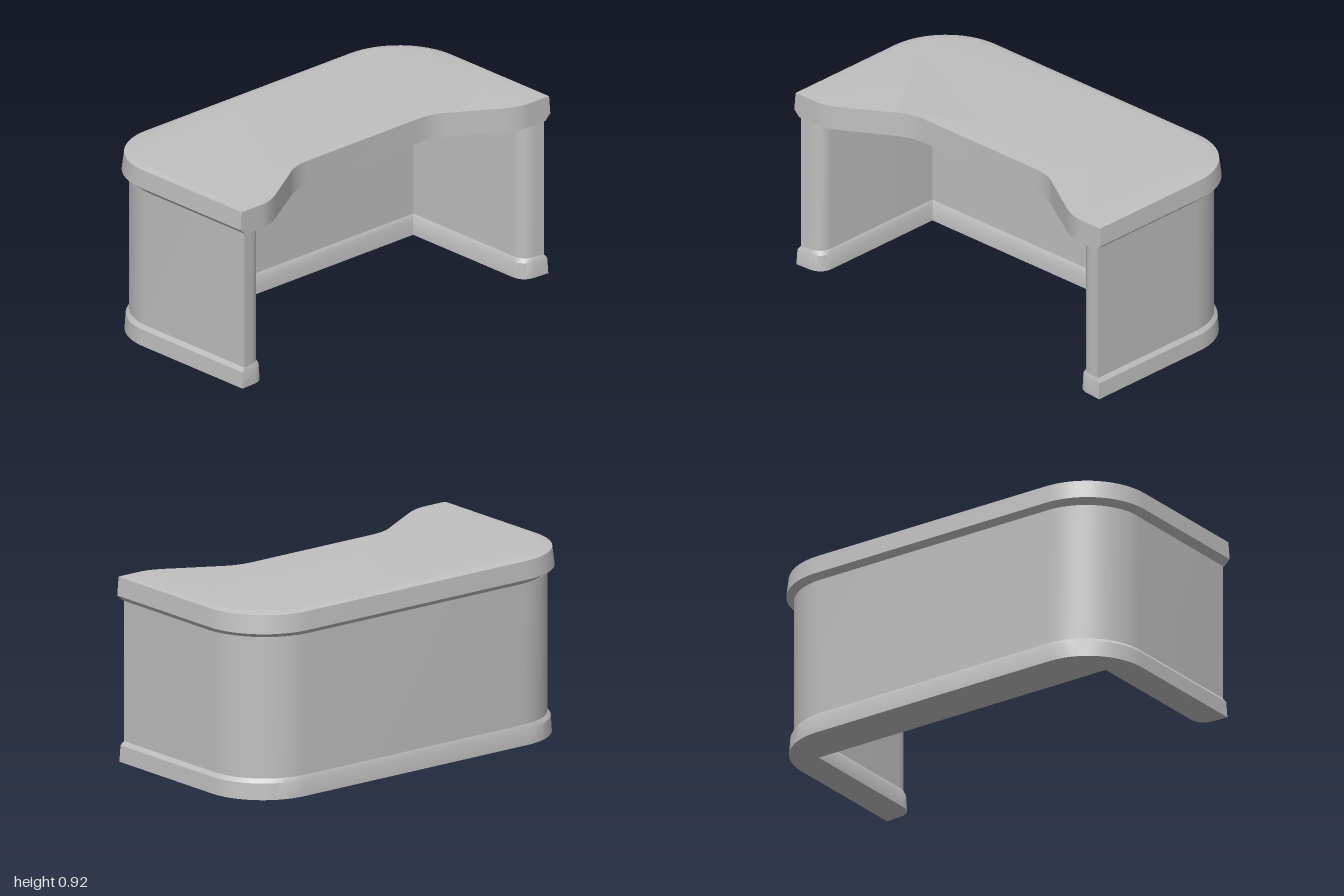
import * as THREE from 'three';
import { toCreasedNormals } from 'three/addons/utils/BufferGeometryUtils.js';

// Points of a quadratic curve, as [x, z]
function curve(a, control, b) {
  const [p, q, r] = [a, control, b].map(([x, z]) => new THREE.Vector2(x, z));
  return new THREE.QuadraticBezierCurve(p, q, r).getPoints(8).map((v) => [v.x, v.y]);
}

// Quarter-round back corner of radius r, from the side to the back
function backCorner(x, back, r) {
  const points = [];
  for (let i = 0; i <= 16; i++) {
    const t = (i / 16) * (Math.PI / 2);
    points.push([x - r + r * Math.cos(t), back + r - r * Math.sin(t)]);
  }
  return points;
}

// Mirror a half outline (front to back) into a closed loop
function mirrored(half) {
  return [...half, ...half.map(([x, z]) => [-x, z]).reverse()];
}

// Worktop outline: straight ends, S-curved knee recess, round back corners
function topOutline(inset) {
  const x = 0.998 - inset;
  return mirrored([
    ...curve([0.36, 0.285], [0.45, 0.285], [0.52, 0.335]),
    ...curve([0.72, 0.455], [0.8, 0.505], [0.86, 0.505]),
    [x, 0.505],
    ...backCorner(x, -0.508 + inset, 0.33),
  ]);
}

// U-shaped pedestal outline, grown outward on every side
function wallOutline(grow) {
  const x = 0.965 + grow, inner = 0.845 - grow * 0.7, front = 0.49 + grow / 2;
  return mirrored([
    [inner, -0.27 + grow * 0.7],
    ...curve([inner, front - 0.08], [inner, front - 0.005], [inner + 0.075, front]),
    [x, front + 0.005],
    ...backCorner(x, -0.48 - grow / 2, 0.31),
  ]);
}

// Closed solid through stacked rings; each ring's height is a function of z
function loft(rings) {
  const pos = [], index = [], n = rings[0].outline.length;
  for (const { outline, height } of rings) {
    for (const [x, z] of outline) pos.push(x, height(z), z);
  }
  for (let k = 0; k < rings.length - 1; k++) {
    for (let i = 0; i < n; i++) {
      const a = k * n + i, b = k * n + ((i + 1) % n);
      index.push(a, b, b + n, a, b + n, a + n);
    }
  }
  const cap = (k, flip) => {
    const contour = rings[k].outline.map(([x, z]) => new THREE.Vector2(x, -z));
    for (const face of THREE.ShapeUtils.triangulateShape(contour, [])) {
      const [a, b, c] = face.map((i) => i + k * n);
      index.push(a, flip ? c : b, flip ? b : c);
    }
  };
  cap(0, true);
  cap(rings.length - 1, false);
  const g = new THREE.BufferGeometry();
  g.setAttribute('position', new THREE.Float32BufferAttribute(pos, 3));
  g.setIndex(index);
  return toCreasedNormals(g, 0.5);
}

export function createModel() {
  const desk = new THREE.Group();
  desk.name = 'desk';
  const grey = new THREE.MeshStandardMaterial({ color: 0xc0c0c0 });
  grey.name = 'plain grey';
  const add = (name, rings) => {
    const mesh = new THREE.Mesh(loft(rings), grey);
    mesh.name = name;
    desk.add(mesh);
  };
  const level = (outline, y) => ({ outline, height: () => y });

  // Skirting around the foot of the pedestal
  add('skirting', [
    level(wallOutline(0.02), 0),
    level(wallOutline(0.015), 0.08),
    level(wallOutline(0), 0.1),
  ]);

  // Side and back panels
  add('panels', [level(wallOutline(0), 0.1), level(wallOutline(0), 0.79)]);

  // Worktop, bevelled underneath and dropping slightly toward the front
  const drop = (z) => 0.915 - 0.009 * THREE.MathUtils.smoothstep(z, 0, 0.505);
  add('worktop', [
    level(topOutline(0.033), 0.785),
    level(topOutline(0), 0.815),
    level(topOutline(0.008), 0.905),
    { outline: topOutline(0.04), height: drop },
  ]);

  return desk;
}
